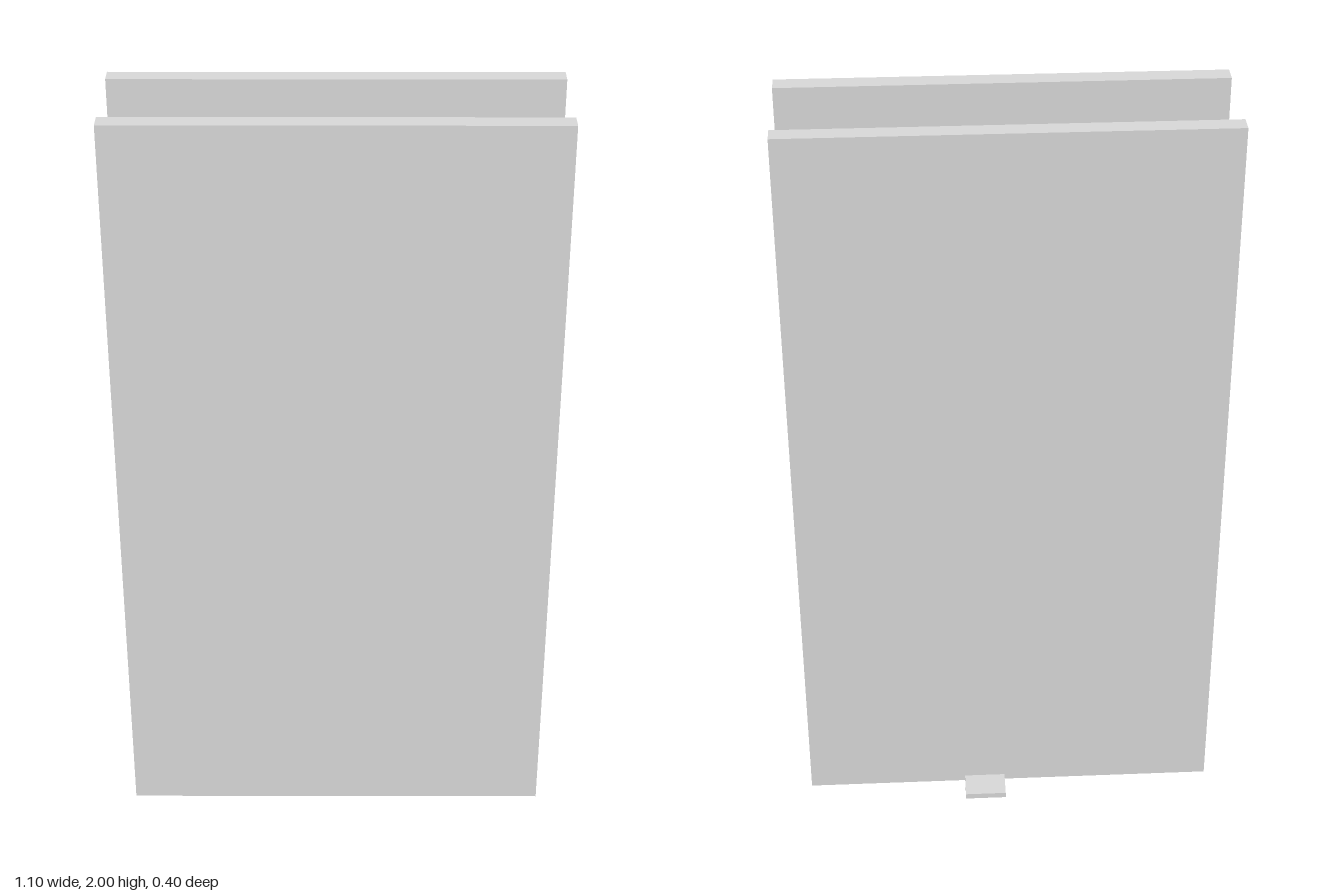
import * as THREE from 'three';

export function createModel() {
  const model = new THREE.Group();
  const grey = new THREE.MeshStandardMaterial({ color: 0xd8d8d8 });
  grey.name = 'light grey';

  // Box given by its min and max along each axis
  const slab = (name, [x0, x1], [y0, y1], [z0, z1]) => {
    const mesh = new THREE.Mesh(new THREE.BoxGeometry(x1 - x0, y1 - y0, z1 - z0), grey);
    mesh.position.set((x0 + x1) / 2, (y0 + y1) / 2, (z0 + z1) / 2);
    mesh.name = name;
    model.add(mesh);
  };

  const width = [-0.55, 0.55];
  const height = [0.014, 2];
  const shelfDepth = [-0.077, 0.06];
  const bracketWidth = [0.413, 0.55];

  // Two tall parallel panels
  slab('frontPanel', width, height, [0.151, 0.2]);
  slab('backPanel', width, height, [-0.124, -0.077]);

  // Ledges on the inner side of the back panel
  slab('longLedge', [-0.55, 0.413], [0.168, 0.18], shelfDepth);
  slab('endBlock', bracketWidth, [0.1, 0.131], shelfDepth);
  slab('footPlate', bracketWidth, [0, 0.014], shelfDepth);

  // Small tab behind the back panel
  slab('rearTab', [0.012, 0.122], [0.015, 0.031], [-0.2, -0.124]);

  return model;
}
